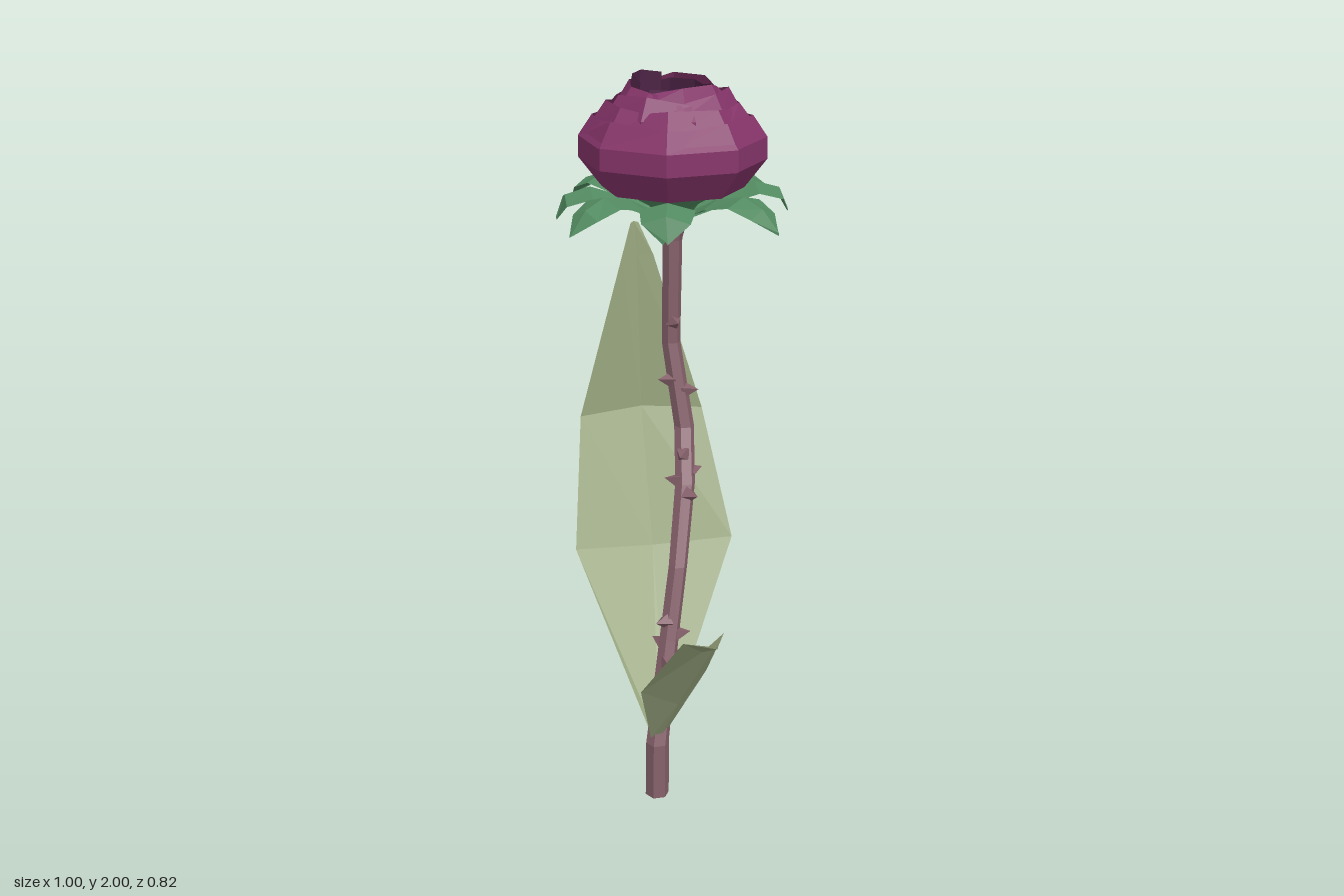
import * as THREE from 'three';

const V = (x, y, z) => new THREE.Vector3(x, y, z);
const CX = -0.138, CZ = -0.04; // axis of the bloom

function material(name, color) {
  const m = new THREE.MeshStandardMaterial({ color, flatShading: true, side: THREE.DoubleSide });
  m.name = name;
  return m;
}

// Surface through rows of points, all rows of the same length
function patch(name, rows, mat) {
  const n = rows[0].length, index = [];
  for (let i = 0; i < rows.length - 1; i++) {
    for (let j = 0; j < n - 1; j++) {
      const a = i * n + j, b = a + n;
      index.push(a, b, a + 1, b, b + 1, a + 1);
    }
  }
  const geo = new THREE.BufferGeometry().setFromPoints(rows.flat());
  geo.setIndex(index);
  const flat = geo.toNonIndexed();
  flat.computeVertexNormals();
  const mesh = new THREE.Mesh(flat, mat);
  mesh.name = name;
  return mesh;
}

export function createModel() {
  const model = new THREE.Group();
  model.name = 'flower';
  const petalMat = material('plum petals', 0x86356a);
  const heartMat = material('dark plum heart', 0x52264a);
  const sepalMat = material('sepal green', 0x528a60);
  const leafMat = material('sage leaf', 0x98a67e);
  const stemMat = material('dusty brown stem', 0x85606a);

  let seed = 7;
  const rand = () => (seed = (seed * 16807) % 2147483647) / 2147483647;

  // Stem: six-sided rings [x, y, z, radius] along a bent path
  const path = [
    [0.137, 0, 0.275, 0.034], [0.137, 0.17, 0.272, 0.033], [0.085, 0.45, 0.18, 0.028],
    [0.053, 0.65, 0.116, 0.027], [-0.016, 0.86, 0.026, 0.029], [-0.085, 1.0, -0.032, 0.029],
    [-0.143, 1.24, -0.035, 0.027], [-0.138, 1.54, -0.038, 0.028], [-0.138, 1.61, -0.04, 0.045],
  ];
  const ring = ([x, y, z], r) => Array.from({ length: 7 }, (_, j) => {
    const a = (j % 6) * Math.PI / 3;
    return V(x + r * Math.cos(a), y, z - r * Math.sin(a));
  });
  model.add(patch('stem', [ring(path[0], 0), ...path.map(p => ring(p, p[3]))], stemMat));

  // Thorns: little pyramids standing out of the stem
  const stemAt = y => {
    const i = path.findIndex(p => p[1] > y), a = path[i - 1], b = path[i];
    return V(a[0], a[1], a[2]).lerp(V(b[0], b[1], b[2]), (y - a[1]) / (b[1] - a[1]));
  };
  const thorns = new THREE.Group();
  thorns.name = 'thorns';
  [0.39, 0.43, 0.46, 0.5, 0.65, 0.83, 0.86, 0.88, 0.93, 1.01, 1.1, 1.13, 1.27, 1.3].forEach((y, i) => {
    const a = i * 2.4 + 0.6;
    const dir = V(Math.cos(a), 0.15, Math.sin(a)).normalize();
    const thorn = new THREE.Mesh(new THREE.ConeGeometry(0.025, 0.045, 4), stemMat);
    thorn.name = 'thorn';
    thorn.quaternion.setFromUnitVectors(V(0, 1, 0), dir);
    thorn.position.copy(stemAt(y)).addScaledVector(dir, 0.038);
    thorns.add(thorn);
  });
  model.add(thorns);

  // Leaves: cross-sections of edge, midrib, edge, pinched at both ends
  const leaf = (name, rows) =>
    model.add(patch(name, rows.map(r => r.map(p => V(...p))), leafMat));
  const base = [0.135, 0.17, 0.265];
  leaf('largeLeaf', [
    [[0.115, 0.18, 0.275], base, [0.14, 0.18, 0.24]],
    [[-0.23, 0.645, 0.262], [-0.145, 0.62, 0.04], [0, 0.64, -0.145]],
    [[-0.36, 0.99, 0.13], [-0.29, 1.0, -0.045], [-0.18, 0.99, -0.188]],
    [[-0.315, 1.46, 0], [-0.302, 1.46, -0.045], [-0.275, 1.46, -0.085]],
    [[-0.31, 1.555, -0.03], [-0.308, 1.56, -0.04], [-0.305, 1.555, -0.055]],
  ]);
  leaf('smallLeaf', [
    [[0.14, 0.19, 0.245], base, [0.135, 0.19, 0.295]],
    [[0.255, 0.42, 0.192], [0.245, 0.345, 0.29], [0.212, 0.41, 0.395]],
    [[0.4, 0.62, 0.262], [0.395, 0.587, 0.335], [0.4, 0.64, 0.408]],
    [[0.493, 0.655, 0.37], [0.495, 0.65, 0.374], [0.49, 0.655, 0.376]],
  ]);

  // Sepals: ridged, arching out and drooping at the tip [radius, y, half width]
  const long = [[0.03, 1.605, 0.025], [0.16, 1.67, 0.065], [0.25, 1.69, 0.07], [0.315, 1.665, 0.052], [0.37, 1.61, 0]];
  const short = [[0.03, 1.605, 0.025], [0.14, 1.66, 0.065], [0.23, 1.69, 0.075], [0.3, 1.67, 0.065], [0.325, 1.61, 0.006]];
  const sepals = new THREE.Group();
  sepals.name = 'sepals';
  [-8, 45, 89, 123, 169, 225, 270, 304].forEach((deg, i) => {
    const a = THREE.MathUtils.degToRad(deg), c = Math.cos(a), s = Math.sin(a);
    const rows = (i % 2 ? short : long).map(([r, y, w]) => [-1, 0, 1].map(k =>
      V(CX + r * c - k * w * s, y + (k ? -0.012 * Math.min(1, w * 20) : 0.008), CZ + r * s + k * w * c)));
    sepals.add(patch('sepal', rows, sepalMat));
  });
  model.add(sepals);

  const lathe = (name, points, sides, mat) => {
    const g = new THREE.LatheGeometry(points.map(p => new THREE.Vector2(...p)), sides);
    const mesh = new THREE.Mesh(g, mat);
    mesh.name = name;
    mesh.position.set(CX, 0, CZ);
    model.add(mesh);
  };
  lathe('calyx', [[0.04, 1.6], [0.07, 1.64], [0.15, 1.685]], 8, sepalMat);

  // Petal layers: overlapping curved plates [profile of radius and y, petals, segments each, start]
  const layers = [
    ['outerPetal', [[0.05, 1.67], [0.2, 1.69], [0.263, 1.77], [0.262, 1.83], [0.222, 1.885]], 4, 3, 0],
    ['secondPetal', [[0.23, 1.8], [0.225, 1.87], [0.185, 1.92]], 4, 3, 1],
    ['thirdPetal', [[0.2, 1.82], [0.19, 1.9], [0.155, 1.95]], 3, 3, 0.5],
    ['fourthPetal', [[0.165, 1.83], [0.155, 1.93], [0.125, 1.972]], 3, 3, 1.3],
  ];
  const bloom = new THREE.Group();
  bloom.name = 'bloom';
  for (const [name, profile, count, segs, start] of layers) {
    for (let p = 0; p < count; p++) {
      const lift = Array.from({ length: segs + 1 }, (_, j) =>
        j === 0 || j === segs ? -0.012 : 0.012 * rand());
      const rows = profile.map(([r, y], i) => lift.map((h, j) => {
        const a = (start + p * 8 / count + j) * Math.PI / 4;
        const k = r * (1 - 0.025 * j / segs); // each petal tucks under the next
        const top = i === profile.length - 1 ? h : 0;
        return V(CX + k * Math.cos(a), y + top, CZ + k * Math.sin(a));
      }));
      bloom.add(patch(name, rows, petalMat));
    }
  }
  // Inner ring of upright dark petals
  for (let p = 0; p < 4; p++) {
    const rows = [[0.09, 1.87], [0.125, 1.93], [0.112, p === 1 ? 2.0 : 1.97]].map(([r, y]) =>
      [0, 1, 2, 3].map(j => {
        const a = (p * 2 + j * 0.85) * Math.PI / 4, k = r - 0.004 * j;
        return V(CX + k * Math.cos(a), y - (j % 3 ? 0 : 0.012), CZ + k * Math.sin(a));
      }));
    bloom.add(patch('innerPetal', rows, heartMat));
  }
  // Small spiral bud in the hollow
  const spiral = [[0.075, 1.885], [0.07, 1.925], [0.045, 1.935]].map(([r, y]) =>
    Array.from({ length: 12 }, (_, j) => {
      const a = j * Math.PI / 4, k = r * (1 - j * 0.06);
      return V(CX + k * Math.cos(a), y, CZ + k * Math.sin(a));
    }));
  bloom.add(patch('budSpiral', spiral, heartMat));
  model.add(bloom);
  lathe('heartCup', [[0.16, 1.91], [0.1, 1.895], [0.05, 1.9], [0, 1.915]], 8, heartMat);

  return model;
}
